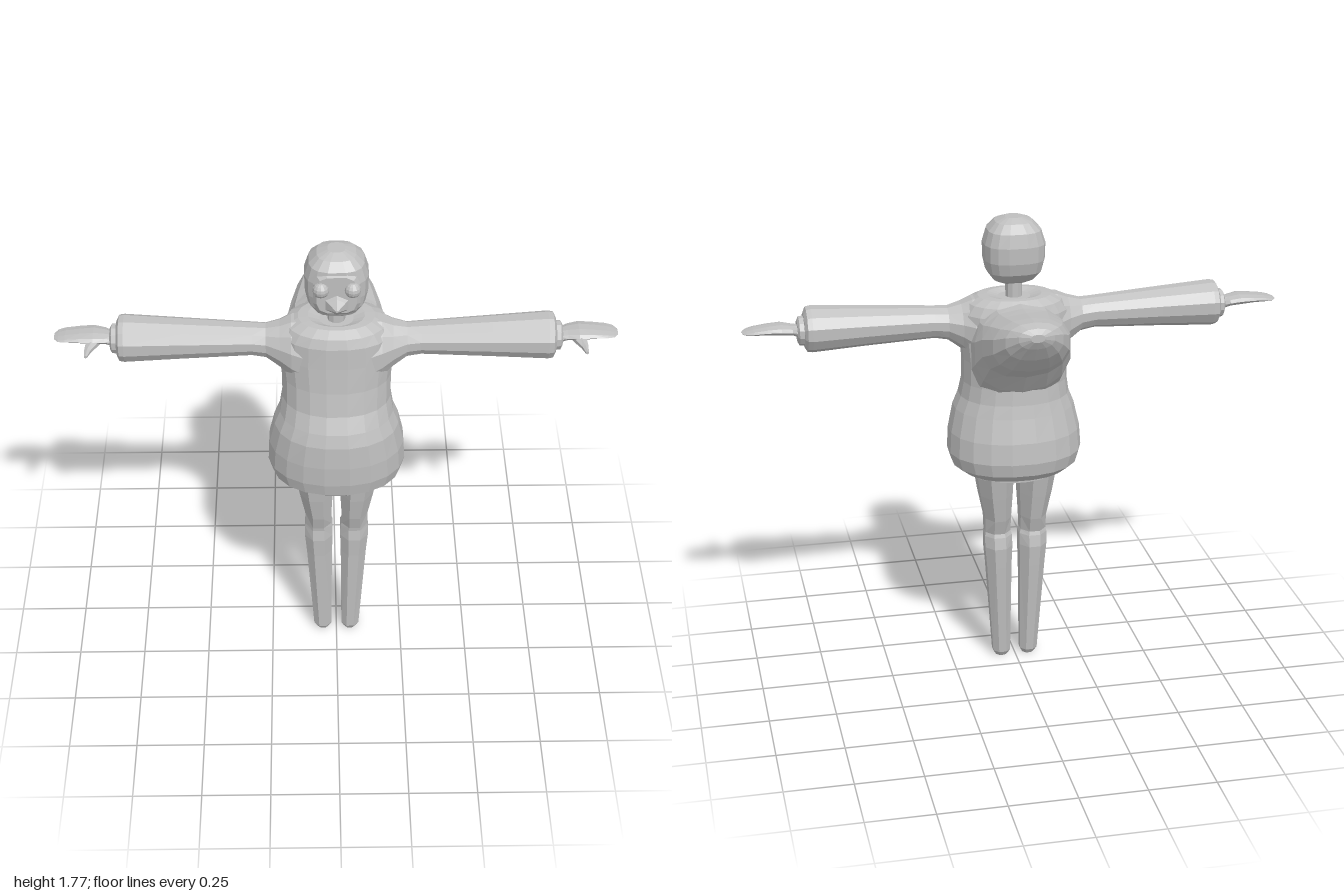
import * as THREE from 'three';

const cloth = new THREE.MeshStandardMaterial({ color: 0xbfbfbf, flatShading: true });
cloth.name = 'plain grey';

// Skin over rings [t, uMin, uMax, vMin, vMax], t ascending along the axis.
// Axis y: u = z, v = x. Axis x: u = y, v = z. Axis z: u = x, v = y.
function loft(name, axis, rings, { sides = 12, power = 2, mirror = false } = {}) {
  const pos = [], idx = [];
  const put = (t, u, v) => {
    const p = axis === 'y' ? [v, t, u] : axis === 'x' ? [t, u, v] : [u, v, t];
    if (mirror) p[0] = -p[0];
    pos.push(...p);
  };
  const tri = (a, b, c) => (mirror ? idx.push(a, c, b) : idx.push(a, b, c));
  const curve = (k) => Math.sign(k) * Math.abs(k) ** (2 / power);
  const fit = curve(Math.cos(Math.PI / sides));
  for (const [t, u0, u1, v0, v1] of rings) {
    for (let j = 0; j < sides; j++) {
      const a = ((j + 0.5) / sides) * Math.PI * 2;
      put(t, (u0 + u1) / 2 + ((u1 - u0) / 2) * curve(Math.cos(a)) / fit,
        (v0 + v1) / 2 + ((v1 - v0) / 2) * curve(Math.sin(a)) / fit);
    }
  }
  for (let i = 0; i < rings.length - 1; i++) {
    for (let j = 0; j < sides; j++) {
      const a = i * sides + j, b = i * sides + ((j + 1) % sides);
      tri(a, b, b + sides);
      tri(a, b + sides, a + sides);
    }
  }
  // end caps
  const n = rings.length * sides, last = n - sides;
  for (const [t, u0, u1, v0, v1] of [rings[0], rings[rings.length - 1]]) put(t, (u0 + u1) / 2, (v0 + v1) / 2);
  for (let j = 0; j < sides; j++) {
    const k = (j + 1) % sides;
    tri(n, k, j);
    tri(n + 1, last + j, last + k);
  }
  const geo = new THREE.BufferGeometry();
  geo.setAttribute('position', new THREE.Float32BufferAttribute(pos, 3));
  geo.setIndex(idx);
  geo.computeVertexNormals();
  const mesh = new THREE.Mesh(geo, cloth);
  mesh.name = name;
  return mesh;
}

export function createModel() {
  const model = new THREE.Group();
  model.name = 'hoodedFigure';

  // baggy jumper, hem and hanging hood
  model.add(loft('jumper', 'y', [
    [0.80, -0.06, 0.27, -0.195, 0.195],
    [0.83, -0.09, 0.305, -0.235, 0.235],
    [0.88, -0.1, 0.315, -0.25, 0.25],
    [0.96, -0.092, 0.318, -0.245, 0.245],
    [1.05, -0.07, 0.315, -0.225, 0.225],
    [1.10, -0.06, 0.3, -0.205, 0.205],
    [1.16, -0.055, 0.272, -0.195, 0.195],
    [1.25, -0.055, 0.255, -0.195, 0.195],
    [1.35, -0.05, 0.245, -0.205, 0.205],
    [1.43, -0.04, 0.24, -0.2, 0.2],
    [1.465, -0.03, 0.228, -0.175, 0.175],
    [1.485, 0, 0.195, -0.135, 0.135],
    [1.487, 0.02, 0.175, -0.1, 0.1],
    [1.475, 0.05, 0.155, -0.06, 0.06],
  ], { sides: 20, power: 2.2 }));
  model.add(loft('hem', 'y', [
    [0.78, -0.03, 0.25, -0.17, 0.17],
    [0.815, -0.03, 0.25, -0.17, 0.17],
  ], { sides: 20 }));
  model.add(loft('hood', 'z', [
    [-0.318, -0.025, 0.025, 1.435, 1.465],
    [-0.3, -0.065, 0.065, 1.405, 1.481],
    [-0.26, -0.105, 0.105, 1.35, 1.49],
    [-0.2, -0.138, 0.138, 1.288, 1.486],
    [-0.12, -0.162, 0.162, 1.237, 1.477],
    [-0.06, -0.178, 0.178, 1.16, 1.473],
    [0, -0.18, 0.18, 1.1, 1.475],
  ], { sides: 14, power: 2.3 }));

  // neck and head
  model.add(loft('neck', 'y', [
    [1.46, 0.075, 0.135, -0.03, 0.03],
    [1.56, 0.075, 0.135, -0.03, 0.03],
  ], { sides: 10 }));
  model.add(loft('head', 'y', [
    [1.525, 0.085, 0.165, -0.045, 0.045],
    [1.54, 0.055, 0.185, -0.075, 0.075],
    [1.575, 0.02, 0.205, -0.1, 0.1],
    [1.62, 0.007, 0.21, -0.11, 0.11],
    [1.68, 0.005, 0.21, -0.112, 0.112],
    [1.73, 0.015, 0.205, -0.097, 0.097],
    [1.76, 0.045, 0.18, -0.068, 0.068],
    [1.775, 0.08, 0.145, -0.03, 0.03],
  ], { sides: 16, power: 2.8 }));
  model.add(loft('face', 'z', [
    [0.195, -0.082, 0.082, 1.555, 1.725],
    [0.213, -0.07, 0.07, 1.57, 1.715],
  ], { sides: 12, power: 3.5 }));
  model.add(loft('beak', 'z', [
    [0.2, -0.05, 0.05, 1.56, 1.645],
    [0.225, -0.03, 0.03, 1.58, 1.63],
    [0.255, -0.004, 0.004, 1.6, 1.608],
  ], { sides: 6 }));

  for (const mirror of [false, true]) {
    const side = mirror ? 'right' : 'left';
    const opt = { sides: 12, mirror };

    const eye = new THREE.Mesh(new THREE.SphereGeometry(0.029, 12, 8), cloth);
    eye.name = side + 'Eye';
    eye.position.set(mirror ? -0.055 : 0.055, 1.665, 0.21);
    model.add(eye);

    // sleeve widening towards its gathered end
    model.add(loft(side + 'Sleeve', 'x', [
      [0.1, 1.2, 1.482, -0.02, 0.225],
      [0.16, 1.245, 1.477, 0, 0.21],
      [0.2, 1.288, 1.46, 0.027, 0.19],
      [0.25, 1.325, 1.447, 0.048, 0.167],
      [0.3, 1.335, 1.45, 0.047, 0.167],
      [0.55, 1.325, 1.467, 0.033, 0.18],
      [0.75, 1.315, 1.48, 0.02, 0.19],
      [0.768, 1.318, 1.477, 0.022, 0.187],
      [0.778, 1.335, 1.455, 0.04, 0.165],
    ], opt));
    model.add(loft(side + 'Cuff', 'x', [
      [0.77, 1.34, 1.447, 0.05, 0.155],
      [0.795, 1.342, 1.445, 0.052, 0.153],
      [0.802, 1.355, 1.432, 0.065, 0.14],
    ], opt));

    // flat mitten hand with a thumb
    model.add(loft(side + 'Hand', 'x', [
      [0.79, 1.37, 1.415, 0.07, 0.135],
      [0.82, 1.385, 1.42, 0.055, 0.14],
      [0.86, 1.39, 1.427, 0.048, 0.15],
      [0.91, 1.395, 1.423, 0.05, 0.147],
      [0.96, 1.397, 1.416, 0.052, 0.143],
      [0.985, 1.398, 1.41, 0.06, 0.135],
      [1.0, 1.4, 1.405, 0.08, 0.115],
    ], { sides: 10, mirror }));
    model.add(loft(side + 'Thumb', 'z', [
      [0.11, 0.82, 0.885, 1.388, 1.418],
      [0.15, 0.845, 0.885, 1.385, 1.41],
      [0.18, 0.865, 0.888, 1.383, 1.402],
      [0.21, 0.876, 0.886, 1.385, 1.395],
    ], { sides: 6, mirror }));

    // tapering leg, pinched at the knee
    model.add(loft(side + 'Leg', 'y', [
      [0, 0.078, 0.125, 0.03, 0.075],
      [0.02, 0.065, 0.137, 0.02, 0.087],
      [0.4, 0.035, 0.15, 0.017, 0.113],
      [0.48, 0.03, 0.155, 0.014, 0.12],
      [0.525, 0.038, 0.15, 0.015, 0.12],
      [0.54, 0.043, 0.152, 0.02, 0.117],
      [0.6, 0.025, 0.17, 0.019, 0.118],
      [0.7, 0.005, 0.188, 0.014, 0.138],
      [0.81, -0.015, 0.202, 0.01, 0.155],
    ], { sides: 8, mirror }));
  }
  return model;
}
